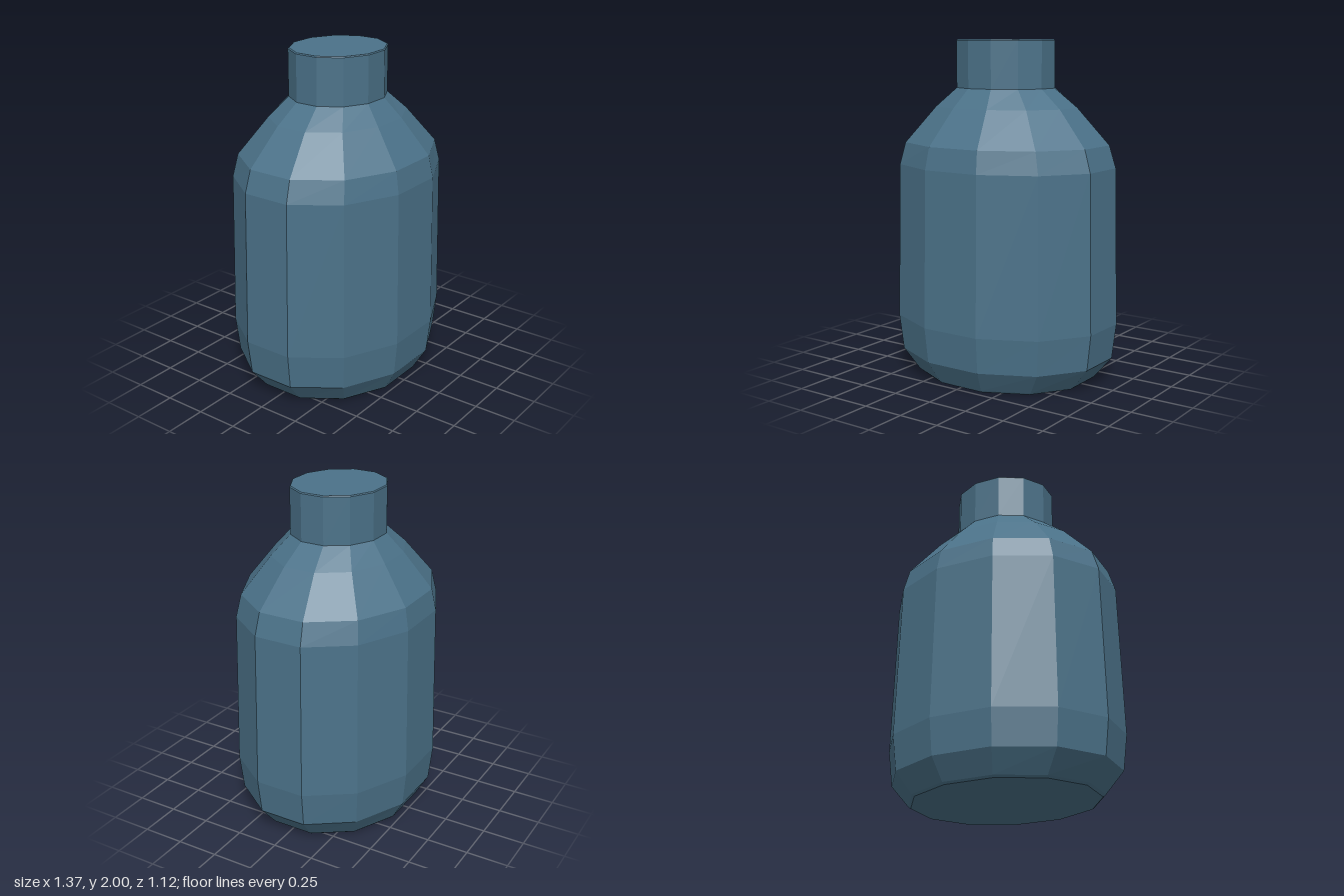
import * as THREE from 'three';

const SIDES = 12;

// Closed faceted shell through rings of [y, half width in x, half width in z]
function loft(rings, capBottom, capTop) {
  const pos = [], index = [];
  const fit = Math.cos(Math.PI / SIDES); // flats face the axes
  for (const [y, hx, hz] of rings) {
    for (let i = 0; i < SIDES; i++) {
      const a = ((i + 0.5) / SIDES) * Math.PI * 2;
      pos.push((Math.sin(a) * hx) / fit, y, (Math.cos(a) * hz) / fit);
    }
  }
  for (let r = 0; r < rings.length - 1; r++) {
    for (let i = 0; i < SIDES; i++) {
      const j = (i + 1) % SIDES;
      const a = r * SIDES + i, b = r * SIDES + j;
      index.push(a, b, b + SIDES, a, b + SIDES, a + SIDES);
    }
  }
  const last = (rings.length - 1) * SIDES;
  for (let i = 1; i < SIDES - 1; i++) {
    if (capBottom) index.push(0, i + 1, i);
    if (capTop) index.push(last, last + i, last + i + 1);
  }
  const indexed = new THREE.BufferGeometry();
  indexed.setAttribute('position', new THREE.Float32BufferAttribute(pos, 3));
  indexed.setIndex(index);
  const geometry = indexed.toNonIndexed();
  geometry.computeVertexNormals();
  return geometry;
}

export function createModel() {
  const group = new THREE.Group();
  group.name = 'bottle';
  const glass = new THREE.MeshStandardMaterial({ color: 0x4b7289 });
  glass.name = 'slate blue';
  glass.flatShading = true;

  const add = (name, geometry) => {
    const mesh = new THREE.Mesh(geometry, glass);
    mesh.name = name;
    group.add(mesh);
  };

  // Oval body with chamfered base and sloping shoulder
  add('body', loft([
    [0, 0.54, 0.455],
    [0.012, 0.555, 0.467],
    [0.14, 0.66, 0.54],
    [0.35, 0.685, 0.562],
    [1.27, 0.665, 0.545],
    [1.4, 0.625, 0.52],
    [1.61, 0.435, 0.36],
    [1.72, 0.296, 0.265],
  ], true, false));

  // Straight neck with a flat top
  add('neck', loft([
    [1.72, 0.296, 0.265],
    [1.994, 0.296, 0.265],
    [2, 0.29, 0.26],
  ], false, true));

  return group;
}
